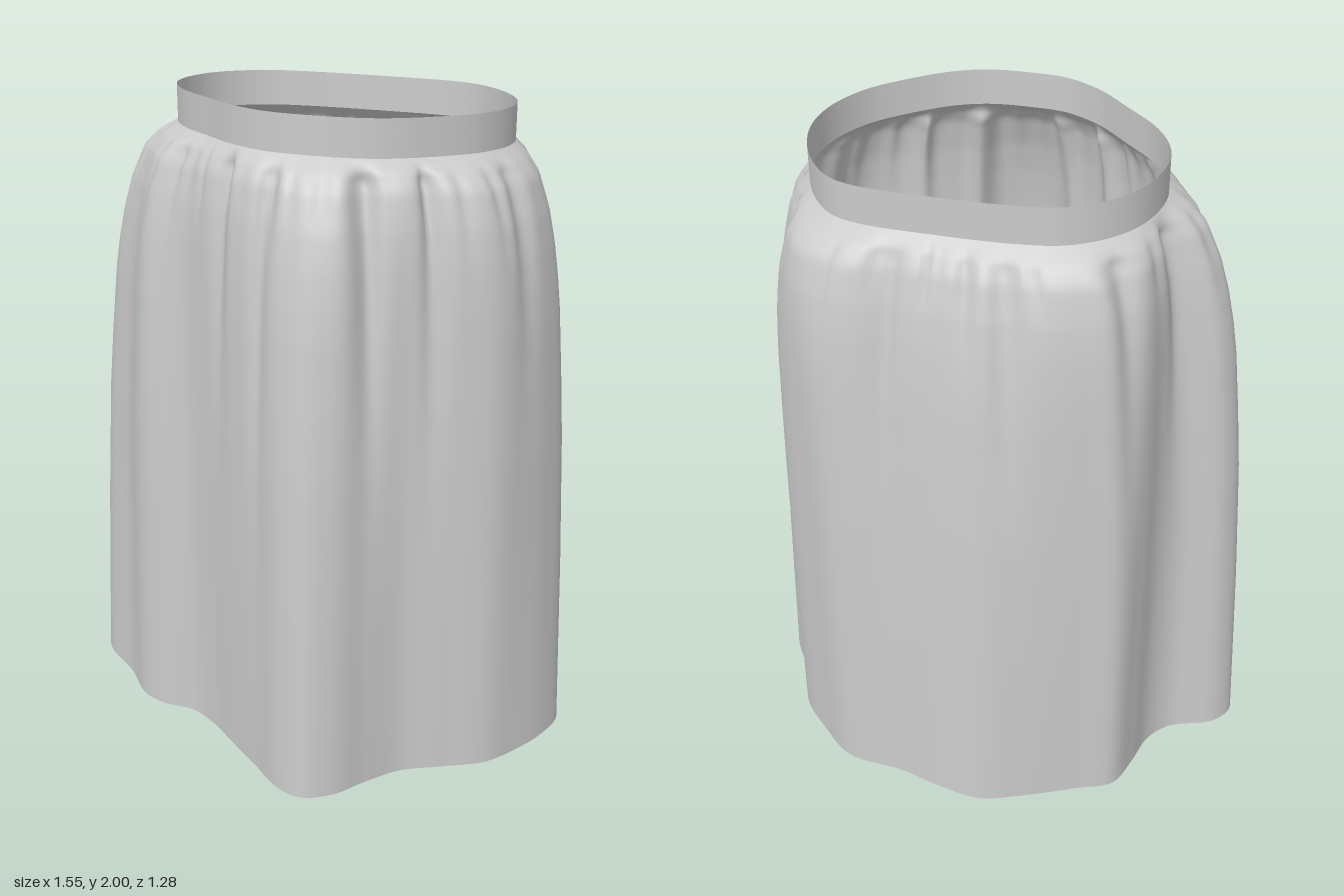
import * as THREE from 'three';

const CX = 0.04, CZ = -0.03, SEGMENTS = 320, ROWS = 64, TAU = Math.PI * 2;

// Plan outlines as x, z pairs, running from the left side round the front
const HEM = [
  0.775, -0.01, 0.735, 0.11, 0.665, 0.22, 0.585, 0.31, 0.45, 0.375, 0.34, 0.425, 0.25, 0.51, 0.17, 0.60,
  0.08, 0.642, 0, 0.61, -0.09, 0.52, -0.2, 0.41, -0.28, 0.33, -0.37, 0.27, -0.47, 0.26, -0.55, 0.22,
  -0.64, 0.1, -0.75, -0.01, -0.778, -0.08, -0.73, -0.15, -0.6, -0.2, -0.54, -0.27, -0.51, -0.38,
  -0.47, -0.48, -0.36, -0.53, -0.2, -0.6, -0.08, -0.64, 0.05, -0.625, 0.2, -0.59, 0.38, -0.57,
  0.5, -0.48, 0.6, -0.38, 0.66, -0.24, 0.74, -0.12,
];
const WAIST = [
  0.55, -0.06, 0.535, 0.05, 0.48, 0.16, 0.39, 0.25, 0.27, 0.335, 0.17, 0.37, 0.05, 0.375, -0.07, 0.36,
  -0.18, 0.3, -0.29, 0.195, -0.39, 0.09, -0.45, -0.02, -0.465, -0.12, -0.43, -0.26, -0.36, -0.35,
  -0.26, -0.41, -0.14, -0.43, 0.1, -0.43, 0.3, -0.415, 0.39, -0.38, 0.475, -0.285, 0.53, -0.17,
];

// Flare from waist (0) to hem (1) against the distance down the cloth
const FLARE = [[0, 0], [0.019, 0.18], [0.045, 0.32], [0.099, 0.47], [0.152, 0.57], [0.206, 0.645],
  [0.26, 0.7], [0.366, 0.77], [0.473, 0.83], [0.687, 0.91], [1, 1]];

// Long folds, or puffs where the depth is negative: angle, half width, depth, length down the cloth
const FOLDS = [
  [1.2, 0.07, 0.05, 0.36], [1.79, 0.05, 0.025, 0.42], [2.15, 0.07, 0.03, 0.3], [2.63, 0.06, 0.03, 0.32],
  [0.85, 0.06, 0.035, 0.36], [0.35, 0.07, 0.025, 0.25], [-0.17, 0.07, 0.04, 0.35], [-0.42, 0.06, 0.03, 0.36],
  [-0.78, 0.2, -0.015, 0.3], [-1.25, 0.07, 0.025, 0.3], [-1.9, 0.07, 0.025, 0.3], [-2.45, 0.07, 0.035, 0.35],
  [-2.85, 0.06, 0.03, 0.3],
];

// Short gathers spaced unevenly round the waistband
let seed = 7;
const random = () => (seed = (seed * 16807) % 2147483647) / 2147483647;
const GATHERS = [];
for (let i = 0; i < 34; i++) {
  GATHERS.push([(i + 0.9 * random()) / 34 * TAU, 0.025 + 0.03 * random(), 0.006 + 0.018 * random(), 0.05 + 0.1 * random()]);
}

// Radius of a closed outline at a given angle
function radiusTable(flat) {
  const points = [];
  for (let i = 0; i < flat.length; i += 2) points.push(new THREE.Vector3(flat[i] - CX, 0, flat[i + 1] - CZ));
  const samples = new THREE.CatmullRomCurve3(points, true).getPoints(1200)
    .map(p => [(Math.atan2(p.z, p.x) + TAU) % TAU, Math.hypot(p.x, p.z)])
    .sort((a, b) => a[0] - b[0]);
  const last = samples[samples.length - 1];
  samples.unshift([last[0] - TAU, last[1]]);
  samples.push([samples[1][0] + TAU, samples[1][1]]);
  const radii = [];
  for (let i = 0, k = 0; i < SEGMENTS; i++) {
    const angle = i / SEGMENTS * TAU;
    while (samples[k + 1][0] < angle) k++;
    const [a, b] = [samples[k], samples[k + 1]];
    radii.push(THREE.MathUtils.lerp(a[1], b[1], (angle - a[0]) / Math.max(b[0] - a[0], 1e-6)));
  }
  return radii;
}

// Flare at a point, fuller on the diagonals and fullest at the front left
function flareAt(angle, t) {
  let k = 0;
  while (k < FLARE.length - 2 && FLARE[k + 1][0] < t) k++;
  const [a, b] = [FLARE[k], FLARE[k + 1]];
  const flare = THREE.MathUtils.lerp(a[1], b[1], (t - a[0]) / (b[0] - a[0]));
  const fullness = Math.sin(2 * angle) ** 2 * (0.95 + 0.3 * Math.max(0, Math.cos(angle - 0.75)));
  return flare + fullness * flare * (1 - flare);
}

// How far the cloth is drawn in by folds and gathers, less the general puff between them
function creaseDepth(angle, t) {
  let depth = -0.01 * Math.exp(-((t / 0.16) ** 2));
  for (const [at, width, amount, length] of [...FOLDS, ...GATHERS]) {
    const d = Math.atan2(Math.sin(angle - at), Math.cos(angle - at)) / width;
    if (Math.abs(d) < 3) depth += amount * Math.exp(-d * d) * Math.exp(-((t / length) ** 2));
  }
  return depth * THREE.MathUtils.smoothstep(t, 0, 0.04);
}

const bandTop = (x, z) => 1.988 - 0.022 * x + 0.03 * z;
const bandBottom = (x, z) => bandTop(x, z) - 0.108;
const hemHeight = (x, z) => 0.018 - 0.02 * x + 0.02 * z + (x < 0 ? 0.03 * x * x : 0);

// Closed rings of points joined into a smooth tube, listed from top to bottom
function ringSurface(rows, pointAt) {
  const positions = [], indices = [];
  for (let r = 0; r <= rows; r++) {
    for (let s = 0; s < SEGMENTS; s++) {
      positions.push(...pointAt(r / rows, s));
      if (r === rows) continue;
      const a = r * SEGMENTS + s, b = r * SEGMENTS + (s + 1) % SEGMENTS;
      indices.push(a, b, a + SEGMENTS, b, b + SEGMENTS, a + SEGMENTS);
    }
  }
  const geometry = new THREE.BufferGeometry();
  geometry.setAttribute('position', new THREE.Float32BufferAttribute(positions, 3));
  geometry.setIndex(indices);
  geometry.computeVertexNormals();
  return geometry;
}

export function createModel() {
  const group = new THREE.Group();
  group.name = 'gatheredSkirt';
  const material = new THREE.MeshStandardMaterial({ color: 0xcccccc, side: THREE.DoubleSide });
  const waist = radiusTable(WAIST), hem = radiusTable(HEM);
  const plan = (radius, s) => {
    const angle = s / SEGMENTS * TAU;
    return [CX + radius * Math.cos(angle), CZ + radius * Math.sin(angle)];
  };

  // Waistband, tilted down towards the back
  const band = new THREE.Mesh(ringSurface(4, (v, s) => {
    const [x, z] = plan(waist[s], s);
    return [x, THREE.MathUtils.lerp(bandTop(x, z), bandBottom(x, z), v), z];
  }), material);
  band.name = 'waistband';

  // Gathered cloth, with rows packed closer near the waist
  const cloth = new THREE.Mesh(ringSurface(ROWS, (v, s) => {
    const t = v ** 1.8, angle = s / SEGMENTS * TAU;
    const radius = THREE.MathUtils.lerp(waist[s], hem[s], flareAt(angle, t)) - creaseDepth(angle, t);
    const [x, z] = plan(Math.max(radius, waist[s]), s);
    return [x, THREE.MathUtils.lerp(bandBottom(x, z), hemHeight(x, z), t), z];
  }), material);
  cloth.name = 'skirtCloth';

  group.add(band, cloth);
  return group;
}
